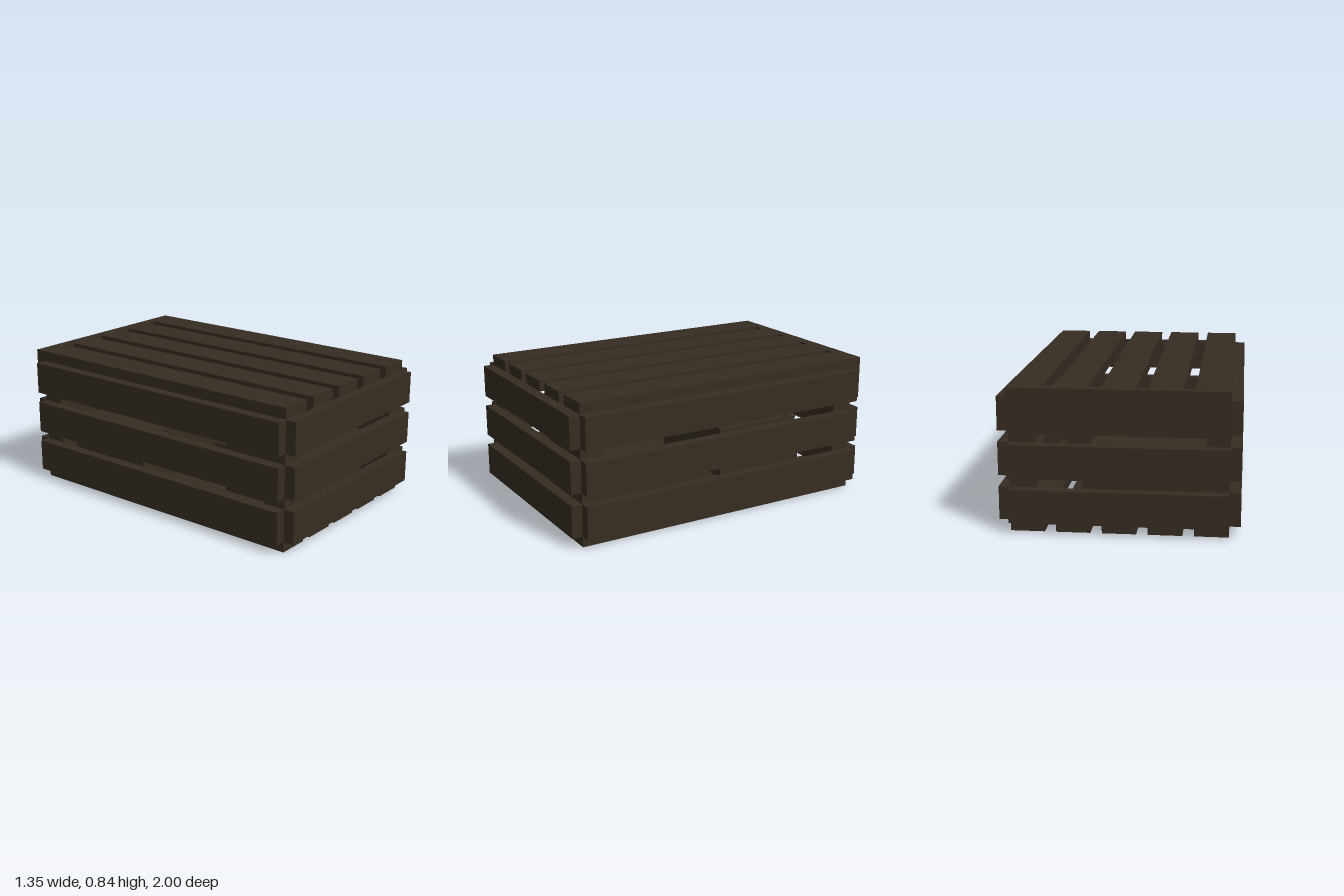
import * as THREE from 'three';

// One plank thickness; every part sits on this grid (21 x 13 x 31 units).
const U = 2 / 31;

export function createModel() {
  const model = new THREE.Group();
  model.name = 'slattedCrate';
  const wood = new THREE.MeshStandardMaterial({ color: 0x362c22 });
  wood.name = 'darkWood';

  // Box given by its extents in grid units
  const box = (name, x0, x1, y0, y1, z0, z1) => {
    const mesh = new THREE.Mesh(
      new THREE.BoxGeometry((x1 - x0) * U, (y1 - y0) * U, (z1 - z0) * U), wood);
    mesh.position.set((x0 + x1) * U / 2, (y0 + y1) * U / 2, (z0 + z1) * U / 2);
    mesh.name = name;
    model.add(mesh);
  };

  // Floor and lid slats
  for (let i = -2; i <= 2; i++) {
    const x = i * 4;
    box('floorSlat', x - 1.5, x + 1.5, 0, 1, -14.5, 14.5);
    box('lidSlat', x - 1.5, x + 1.5, 12, 13, -14.5, 14.5);
  }

  // Three rows of wall boards; the top back board rises to join the lid
  for (let row = 0; row < 3; row++) {
    const y = 1 + row * 4;
    for (const s of [-1, 1]) box('sideBoard', s * 10 - 0.5, s * 10 + 0.5, y, y + 3, -14.5, 14.5);
    box('frontBoard', -9.5, 9.5, y, y + 3, 14.5, 15.5);
    box('backBoard', -9.5, 9.5, y, row === 2 ? 13 : y + 3, -15.5, -14.5);
  }

  // Corner posts inside the walls
  for (const sx of [-1, 1]) {
    for (const sz of [-1, 1]) {
      box('cornerPost', sx * 8.5 - 1, sx * 8.5 + 1, 1, 12, sz * 13.5 - 1, sz * 13.5 + 1);
    }
  }

  // Two packed blocks resting on the floor
  box('backContents', -7.5, 3.5, 1, 6, -12.5, -3.5);
  box('frontContents', -3.5, 7.5, 1, 6, 3.5, 11.5);

  return model;
}
